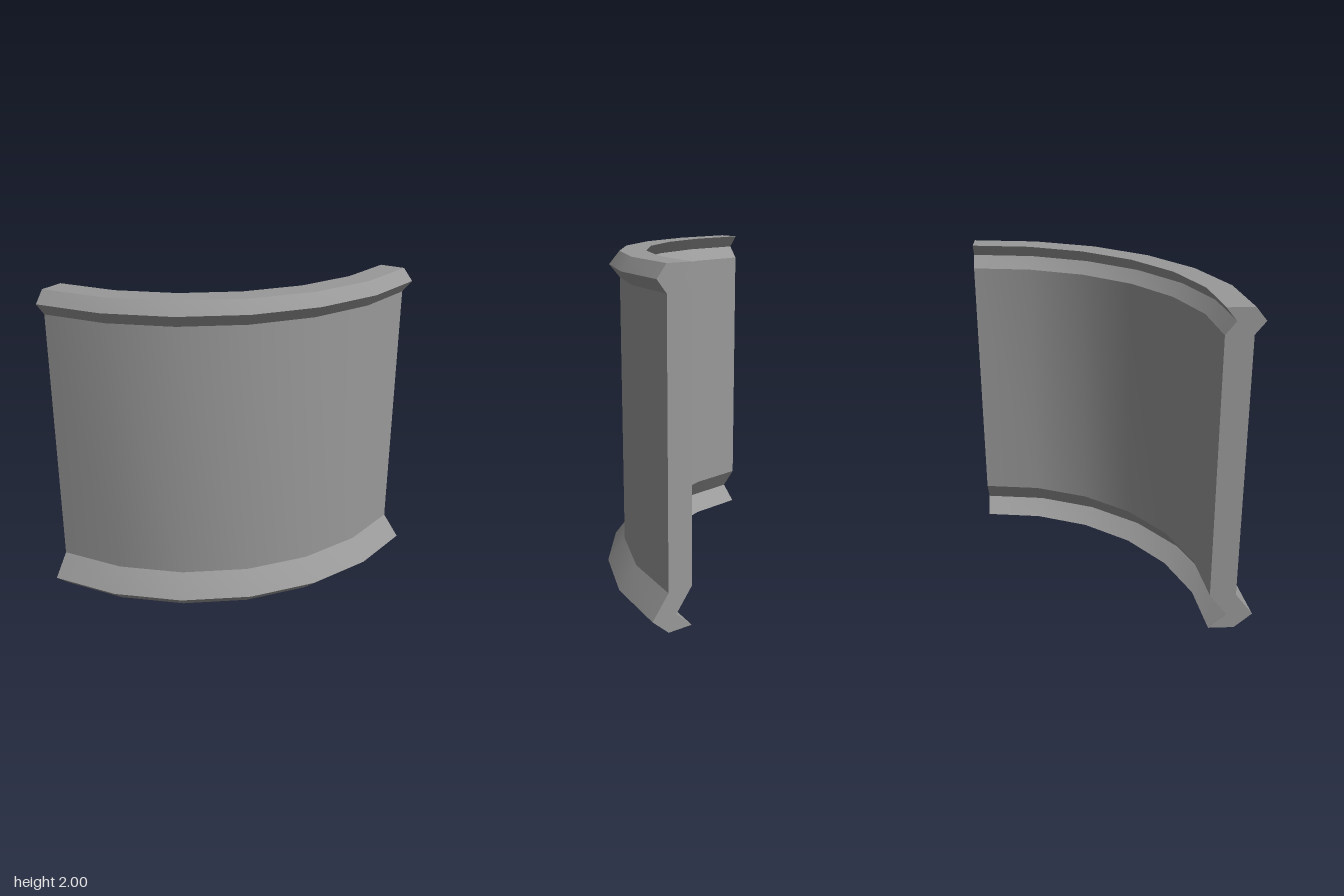
import * as THREE from 'three';
import { toCreasedNormals } from 'three/addons/utils/BufferGeometryUtils.js';

const CENTRE = 0.8375;   // offset of the arc's axis from the middle
const THICKNESS = 0.155;
const SEGMENTS = 6;

export function createModel() {
  const group = new THREE.Group();
  group.name = 'curvedPanel';
  const material = new THREE.MeshStandardMaterial({ color: 0x999999 });

  // Cross-section (radius, height): outer side going up, inner side coming down
  const outer = [
    [1.57, 0], [1.675, 0.095], [1.57, 0.235],   // bottom moulding
    [1.57, 1.85], [1.63, 1.925], [1.57, 2],     // top moulding
  ].map(([r, y]) => new THREE.Vector2(r, y));
  const inner = outer.map(p => new THREE.Vector2(p.x - THICKNESS, p.y)).reverse();
  const section = [...outer, ...inner];

  const add = (name, geometry) => {
    const mesh = new THREE.Mesh(geometry, material);
    mesh.name = name;
    mesh.position.set(-CENTRE, 0, -CENTRE);
    group.add(mesh);
  };

  // Quarter-turn wall, smooth round the arc with sharp moulding edges
  const wall = new THREE.LatheGeometry([...section, section[0]], SEGMENTS, 0, Math.PI / 2);
  add('curvedWall', toCreasedNormals(wall, Math.PI / 6));

  // Flat ends closing the arc
  const shape = new THREE.Shape(section);
  add('frontEnd', new THREE.ShapeGeometry(shape).rotateY(-Math.PI / 2));

  const backEnd = new THREE.ShapeGeometry(shape);
  backEnd.index.array.reverse();   // turn the face towards -z
  backEnd.computeVertexNormals();
  add('backEnd', backEnd);

  return group;
}
